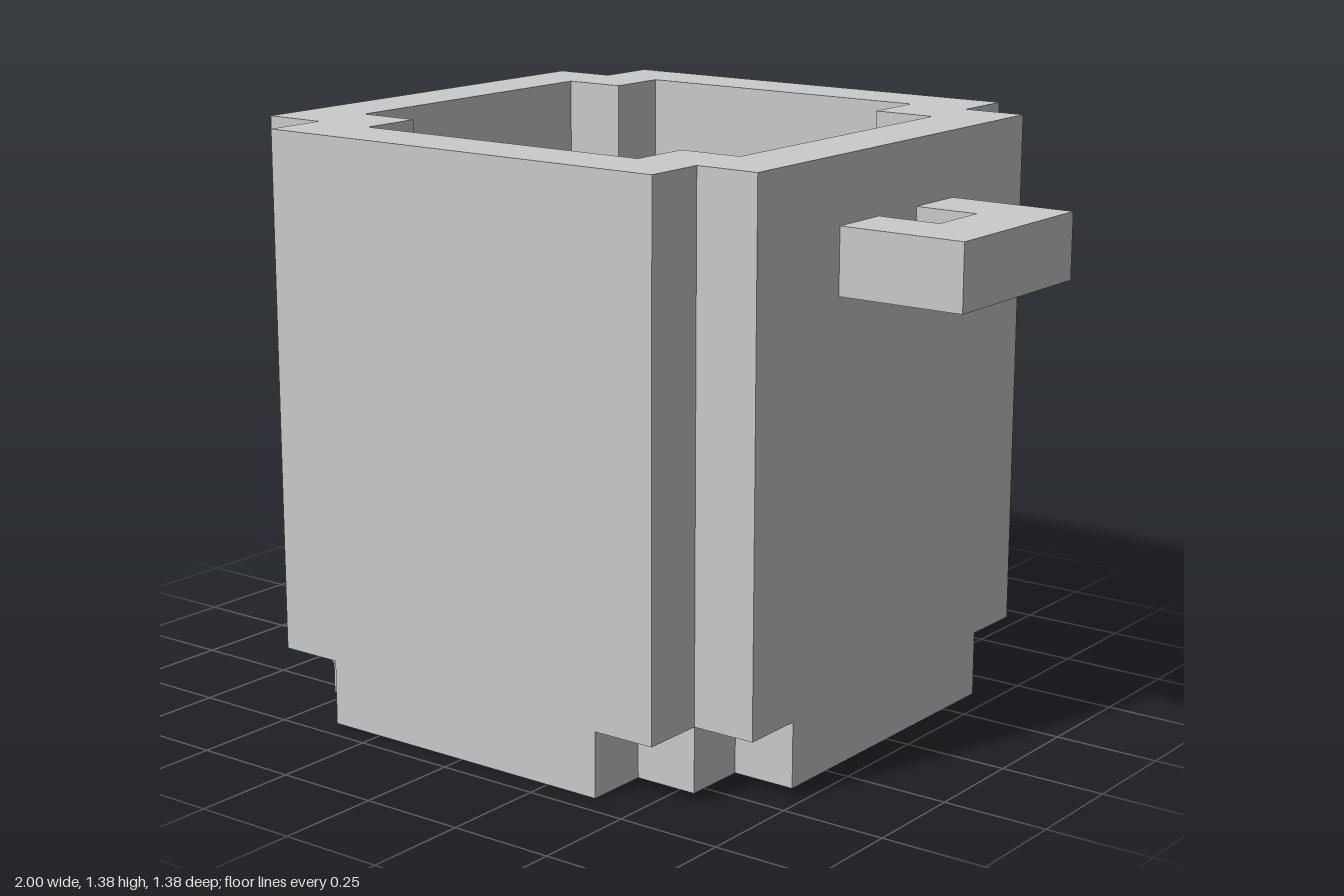
import * as THREE from 'three';

const U = 2 / 13; // one block

// Mirror a quarter outline (from +x side round to +y side) into a closed anticlockwise loop
function symmetric(quarter) {
  const back = [...quarter].reverse();
  return [
    ...quarter,
    ...back.map(([x, y]) => [-x, y]),
    ...quarter.map(([x, y]) => [-x, -y]),
    ...back.map(([x, y]) => [x, -y]),
  ].map(([x, y]) => new THREE.Vector2(x * U, y * U));
}

export function createModel() {
  const group = new THREE.Group();
  const material = new THREE.MeshStandardMaterial({ color: 0xcccccc, flatShading: true });

  // Horizontal slab between two heights, given in blocks
  function slab(name, outline, y0, y1, hole) {
    const shape = new THREE.Shape(outline);
    if (hole) shape.holes.push(new THREE.Path(hole));
    const geometry = new THREE.ExtrudeGeometry(shape, { depth: (y1 - y0) * U, bevelEnabled: false });
    geometry.rotateX(-Math.PI / 2);
    const mesh = new THREE.Mesh(geometry, material);
    mesh.name = name;
    mesh.position.y = y0 * U;
    group.add(mesh);
    return mesh;
  }

  const outer = symmetric([[4.5, 3.5], [3.5, 3.5], [3.5, 4.5]]);
  const inner = symmetric([[3.5, 2.5], [2.5, 2.5], [2.5, 3.5]]);
  const pit = symmetric([[2.5, 2.5]]);
  const base = symmetric([[4.5, 2.5], [3.5, 2.5], [3.5, 3.5], [2.5, 3.5], [2.5, 4.5]]);

  // Pot: stepped base, ledge around the sunken floor, notched walls
  slab('base', base, 0, 1);
  slab('floorLedge', outer, 1, 2, pit);
  slab('walls', outer, 2, 9, inner);

  // Bracket handles, open towards the wall
  const bracket = [[4.5, -1.5], [6.5, -1.5], [6.5, 1.5], [4.5, 1.5], [4.5, 0.5], [5.5, 0.5], [5.5, -0.5], [4.5, -0.5]]
    .map(([x, y]) => new THREE.Vector2(x * U, y * U));
  slab('leftHandle', bracket, 7, 8);
  slab('rightHandle', bracket, 7, 8).rotation.y = Math.PI;

  return group;
}
